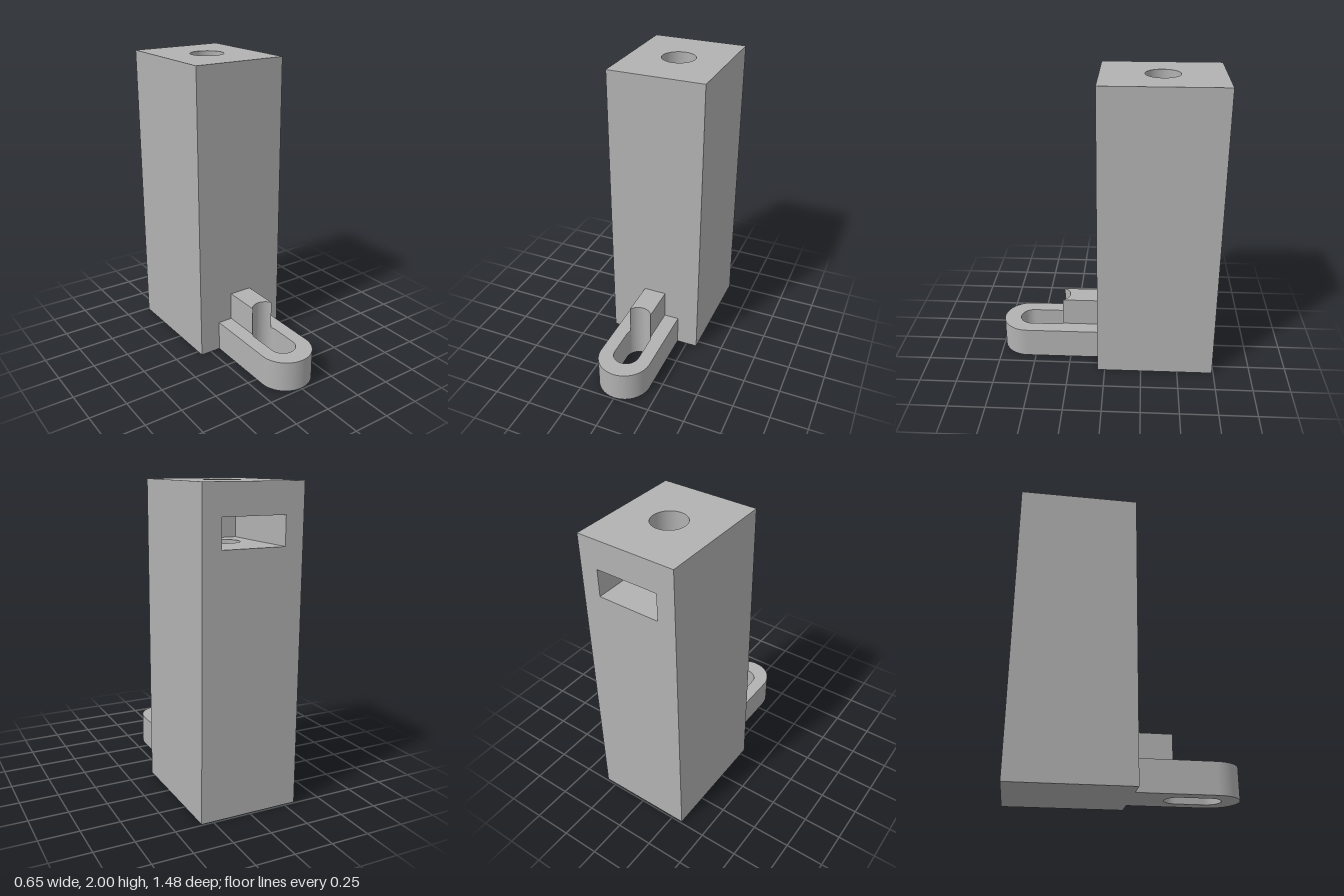
import * as THREE from 'three';
import { mergeGeometries } from 'three/addons/utils/BufferGeometryUtils.js';

const W = 0.65, H = 2, D = 0.79, FRONT = 0.05, BACK = -0.74;
const MID = (FRONT + BACK) / 2;
const BORE = 0.112, BORE_END = 1.1;
const POCKET = { w: 0.41, y0: 1.63, y1: 1.81, depth: 0.595 };

function rect(Type, w, h, cy = 0) {
  return new Type([[-1, -1], [1, -1], [1, 1], [-1, 1]].map(([x, y]) =>
    new THREE.Vector2(x * w / 2, cy + y * h / 2)));
}

const roundHole = (v) => new THREE.Path().absarc(0, v, BORE, 0, Math.PI * 2, true);

// Flat rectangular face, optionally pierced, turned about x then y
function panel(w, h, pos, rx = 0, ry = 0, hole = null) {
  const shape = rect(THREE.Shape, w, h);
  if (hole) shape.holes.push(hole);
  return new THREE.ShapeGeometry(shape, 32).rotateX(rx).rotateY(ry).translate(...pos);
}

// Inward-facing wall of the vertical bore
function boreWall(top, bottom) {
  return new THREE.LatheGeometry(
    [new THREE.Vector2(BORE, top), new THREE.Vector2(BORE, bottom)], 64).translate(0, 0, MID);
}

export function createModel() {
  const model = new THREE.Group();
  const grey = new THREE.MeshStandardMaterial({ color: 0xb2b2b2 });
  grey.name = 'grey';
  const add = (name, geometry) => {
    const mesh = new THREE.Mesh(geometry, grey);
    mesh.name = name;
    model.add(mesh);
  };
  const Q = Math.PI / 2;

  // Tall block with a pocket opening at the back and a bore in the top
  const { w, y0, y1, depth } = POCKET;
  const ph = y1 - y0, py = (y0 + y1) / 2, pz = BACK + depth / 2;
  add('block', mergeGeometries([
    panel(W, H, [0, H / 2, FRONT]),
    panel(W, H, [0, H / 2, BACK], 0, Math.PI, rect(THREE.Path, w, ph, py - H / 2)),
    panel(D, H, [W / 2, H / 2, MID], 0, Q),
    panel(D, H, [-W / 2, H / 2, MID], 0, -Q),
    panel(W, D, [0, H, MID], -Q, 0, roundHole(0)),
    panel(W, D, [0, 0, MID], Q),
  ]));

  // Pocket lining, crossed by the bore
  add('pocket', mergeGeometries([
    panel(w, depth, [0, y0, pz], -Q, 0, roundHole(pz - MID)),
    panel(w, depth, [0, y1, pz], Q, 0, roundHole(MID - pz)),
    panel(depth, ph, [w / 2, py, pz], 0, -Q),
    panel(depth, ph, [-w / 2, py, pz], 0, Q),
    panel(w, ph, [0, py, BACK + depth], 0, Math.PI),
  ]));

  // Bore above and below the pocket
  add('bore', mergeGeometries([
    boreWall(H, y1),
    boreWall(y0, BORE_END),
    new THREE.CircleGeometry(BORE, 64).rotateX(-Q).translate(0, BORE_END, MID),
  ]));

  // Plan shapes (x, z) raised between two heights
  const raise = (shape, bottom, top) => new THREE.ExtrudeGeometry(shape,
    { depth: top - bottom, bevelEnabled: false, curveSegments: 32 }).rotateX(Q).translate(0, top, 0);

  // Slotted foot with a rounded end
  const R = 0.18, r = 0.0875, slotBack = 0.3475, slotFront = 0.5355;
  const foot = new THREE.Shape();
  foot.moveTo(R, FRONT);
  foot.lineTo(R, 0.74 - R);
  foot.absarc(0, 0.74 - R, R, 0, Math.PI, false);
  foot.lineTo(-R, FRONT);
  foot.closePath();
  const slot = new THREE.Path();
  slot.absarc(0, slotFront, r, 0, Math.PI, false);
  slot.absarc(0, slotBack, r, Math.PI, Math.PI * 2, false);
  slot.closePath();
  foot.holes.push(slot);
  add('slottedFoot', raise(foot, 0, 0.21));

  // Rib on the foot, its end hollowed in line with the slot
  const half = 0.078, a = Math.acos(half / r);
  const rib = new THREE.Shape();
  rib.moveTo(-half, FRONT);
  rib.lineTo(half, FRONT);
  rib.absarc(0, slotBack, r, -a, a - Math.PI, true);
  rib.closePath();
  add('rib', raise(rib, 0.21, 0.405));

  return model;
}
